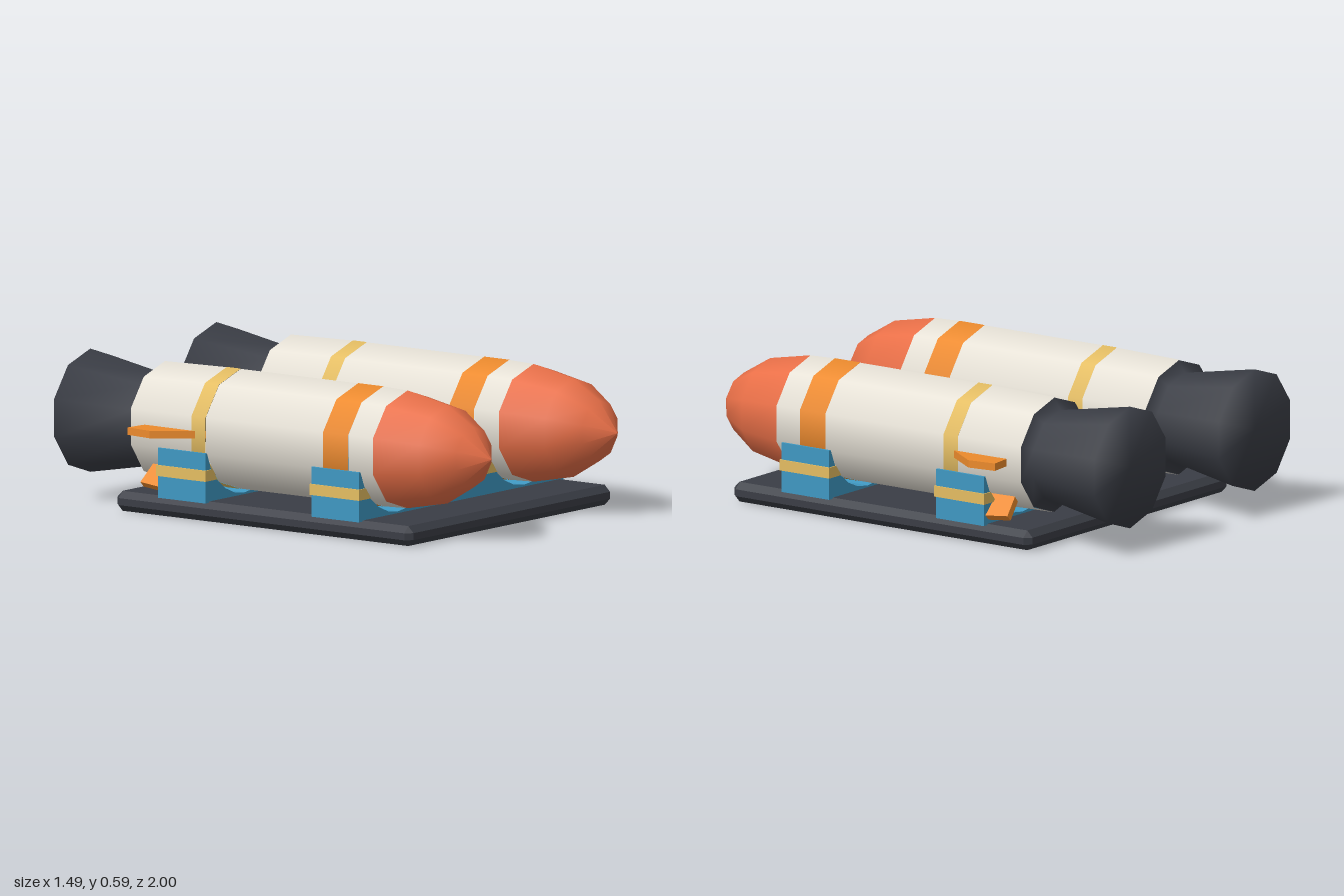
import * as THREE from 'three';
import { ConvexGeometry } from 'three/addons/geometries/ConvexGeometry.js';

const mat = (color, flatShading = false) => new THREE.MeshStandardMaterial({ color, flatShading });
const white = mat(0xe6e1d6), coral = mat(0xea7048), orange = mat(0xec8a2c), gold = mat(0xe4bd62);
const dark = mat(0x3a3d45), plate = mat(0x3a3d45, true);
const blue = mat(0x3f98c2), strapGold = mat(0xe4bd62), finOrange = mat(0xec8a2c);

const AXIS_X = 0.41, AXIS_Y = 0.34, CUT = 0.253;

function add(parent, name, geometry, material) {
  const mesh = new THREE.Mesh(geometry, material);
  mesh.name = name;
  parent.add(mesh);
  return mesh;
}

const polygon = (pts) => new THREE.Shape(pts.map(([x, y]) => new THREE.Vector2(x, y)));

// ten-sided turned section along z, from [radius, z] pairs running back to front
function turned(points) {
  return new THREE.LatheGeometry(points.map(([r, z]) => new THREE.Vector2(r, z)), 10).rotateX(Math.PI / 2);
}

// extrusion centred on a given z
function slab(shape, depth, z) {
  return new THREE.ExtrudeGeometry(shape, { depth, bevelEnabled: false }).translate(0, 0, z - depth / 2);
}

// box with every edge chamfered
function chamferedBox(w, h, d, c) {
  const pts = [];
  for (const x of [-1, 1]) for (const y of [-1, 1]) for (const z of [-1, 1]) {
    for (let k = 0; k < 3; k++) {
      pts.push(new THREE.Vector3(
        x * (w / 2 - (k === 0 ? 0 : c)),
        y * (h / 2 - (k === 1 ? 0 : c)),
        z * (d / 2 - (k === 2 ? 0 : c))));
    }
  }
  return new ConvexGeometry(pts);
}

function createRocket(side) {
  const rocket = new THREE.Group();
  rocket.name = side > 0 ? 'leftRocket' : 'rightRocket';
  rocket.position.set(side * AXIS_X, AXIS_Y, 0);

  // engine bell with closed end
  add(rocket, 'nozzle', turned([[0, -1], [0.247, -1], [0.185, -0.655], [0.232, -0.625]]), dark);
  // hull sections and painted bands
  add(rocket, 'rearHull', turned([[0.234, -0.628], [0.24, -0.32]]), white);
  add(rocket, 'rearBand', turned([[0.241, -0.32], [0.241, -0.25]]), gold);
  add(rocket, 'middleHull', turned([[0.24, -0.25], [0.24, 0.335]]), white);
  add(rocket, 'frontBand', turned([[0.241, 0.335], [0.241, 0.46]]), orange);
  add(rocket, 'frontHull', turned([[0.24, 0.46], [0.236, 0.58]]), white);
  add(rocket, 'noseCone', turned([[0.236, 0.58], [0.197, 0.78], [0.12, 0.91], [0, 1]]), coral);

  // outer fins: one level, one tilted downward
  const finShape = polygon([[0.2, 0.26], [0.333, 0.45], [0.318, 0.57], [0.2, 0.555]]);
  const finGeometry = slab(finShape, 0.03, 0).rotateX(-Math.PI / 2);
  [['sideFin', 0], ['lowerFin', -Math.PI / 4]].forEach(([name, tilt]) => {
    const fin = add(rocket, name, finGeometry, finOrange);
    fin.rotation.z = side > 0 ? tilt : Math.PI - tilt;
  });
  return rocket;
}

// half width of the cradle cut at a height
const cutAt = (y) => Math.sqrt(CUT * CUT - (y - AXIS_Y) ** 2);

function createSaddle(name, z) {
  const saddle = new THREE.Group();
  saddle.name = name;

  // block with two round cradles
  const top = 0.275, half = 0.665, pts = [[-half, 0.075], [half, 0.075], [half, top]];
  const a0 = Math.asin((top - AXIS_Y) / CUT), sweep = Math.PI + 2 * a0;
  for (const cx of [AXIS_X, -AXIS_X]) {
    for (let i = 0; i <= 10; i++) {
      const a = a0 - sweep * i / 10;
      pts.push([cx + CUT * Math.cos(a), AXIS_Y + CUT * Math.sin(a)]);
    }
  }
  pts.push([-half, top]);
  add(saddle, 'saddleBlock', slab(polygon(pts), 0.236, z), blue);

  // gold stripe around the block, interrupted by the cradles
  const y0 = 0.163, y1 = 0.207, d0 = cutAt(y0), d1 = cutAt(y1), e = 0.671;
  const pieces = [
    [[-AXIS_X + d0, y0], [AXIS_X - d0, y0], [AXIS_X - d1, y1], [-AXIS_X + d1, y1]],
    [[AXIS_X + d0, y0], [e, y0], [e, y1], [AXIS_X + d1, y1]],
    [[-e, y0], [-AXIS_X - d0, y0], [-AXIS_X - d1, y1], [-e, y1]],
  ];
  pieces.forEach((p) => add(saddle, 'saddleStripe', slab(polygon(p), 0.246, z), strapGold));
  return saddle;
}

export function createModel() {
  const model = new THREE.Group();
  model.name = 'twinRocketRack';

  // base plate
  add(model, 'basePlate', chamferedBox(1.33, 0.08, 1.475, 0.026), plate).position.set(0, 0.04, 0.048);

  model.add(createSaddle('frontSaddle', 0.415), createSaddle('rearSaddle', -0.35));
  for (const side of [1, -1]) model.add(createRocket(side));
  return model;
}
